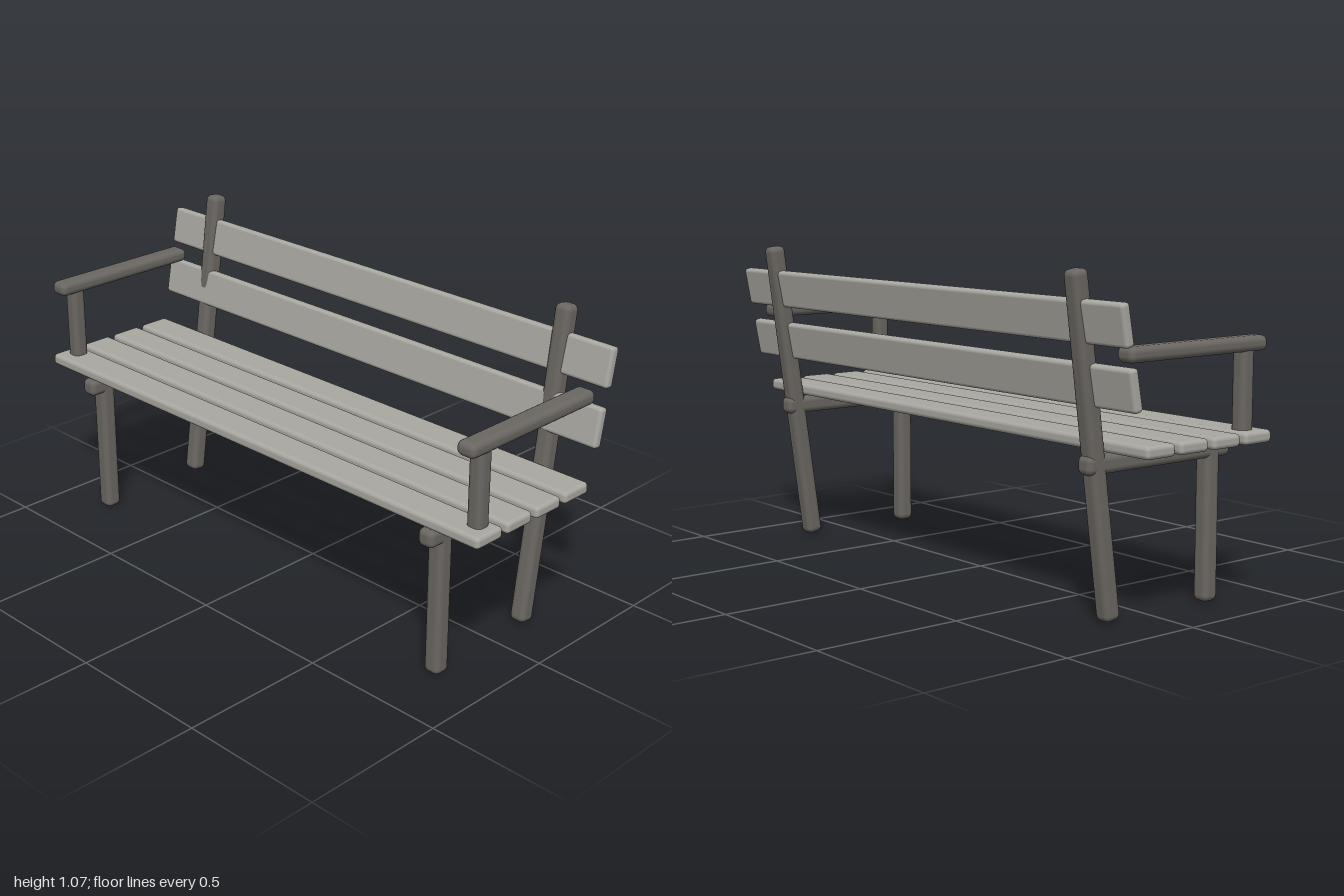
import * as THREE from 'three';
import { RoundedBoxGeometry } from 'three/addons/geometries/RoundedBoxGeometry.js';

export function createModel() {
  const bench = new THREE.Group();
  bench.name = 'bench';
  const slatWood = new THREE.MeshStandardMaterial({ color: 0xa8a7a0 });
  slatWood.name = 'paleWeatheredWood';
  const frameWood = new THREE.MeshStandardMaterial({ color: 0x6a6661 });
  frameWood.name = 'darkFrameWood';

  // Rounded timber, given by size, centre and backward lean
  function beam(name, material, [w, h, d], radius, [x, y, z], lean = 0) {
    const mesh = new THREE.Mesh(new RoundedBoxGeometry(w, h, d, 3, radius), material);
    mesh.name = name;
    mesh.position.set(x, y, z);
    mesh.rotation.x = -lean;
    bench.add(mesh);
  }

  // Frame, mirrored left and right
  for (const [side, s] of [['left', 1], ['right', -1]]) {
    beam(side + 'FrontLeg', frameWood, [0.06, 0.51, 0.06], 0.02, [s * 0.8, 0.257, 0.26]);
    beam(side + 'BackPost', frameWood, [0.06, 1.068, 0.06], 0.02, [s * 0.8, 0.538, -0.228], 0.136);
    beam(side + 'SeatRail', frameWood, [0.06, 0.06, 0.6], 0.02, [s * 0.8, 0.49, 0.035]);
    beam(side + 'ArmPost', frameWood, [0.055, 0.3, 0.055], 0.02, [s * 0.94, 0.68, 0.26]);
    beam(side + 'Armrest', frameWood, [0.07, 0.048, 0.575], 0.02, [s * 0.94, 0.826, 0.048]);
  }

  // Seat slats
  for (let i = 0; i < 4; i++) {
    beam('seatSlat', slatWood, [2, 0.04, 0.117], 0.014, [0, 0.544, 0.272 - i * 0.137]);
  }

  // Backrest slats
  for (const [y, z] of [[0.728, -0.241], [0.916, -0.278]]) {
    beam('backSlat', slatWood, [2, 0.131, 0.034], 0.012, [0, y, z], 0.185);
  }

  return bench;
}
